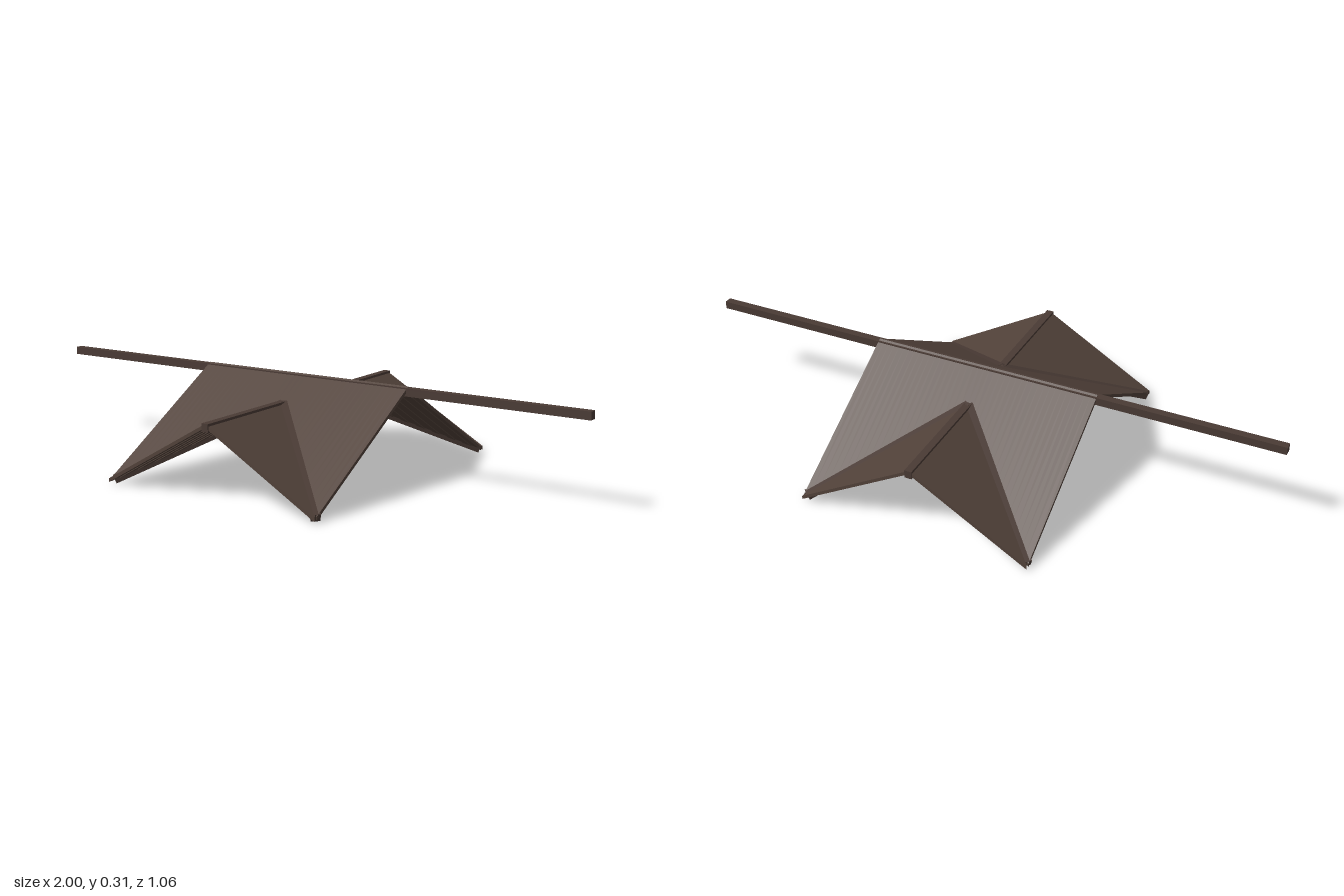
import * as THREE from 'three';
import { mergeGeometries } from 'three/addons/utils/BufferGeometryUtils.js';

const HALF_W = 0.39;    // half width of the roof along x
const HALF_D = 0.525;   // half depth along z
const PITCH = 0.577;    // 30 degree slopes
const MAIN_Y = 0.315;   // top of the main roof
const GABLE_Y = 0.244;  // top of the cross gables
const START = (MAIN_Y - GABLE_Y) / PITCH; // z where the valleys meet
const STRIPS = 20;

export function createModel() {
  const group = new THREE.Group();
  const boards = new THREE.MeshStandardMaterial({ color: 0x52423a });
  boards.name = 'roof brown';
  const timber = new THREE.MeshStandardMaterial({ color: 0x4a3b35 });
  timber.name = 'beam brown';

  const add = (name, geometry, material) => {
    const mesh = new THREE.Mesh(geometry, material);
    mesh.name = name;
    group.add(mesh);
    return mesh;
  };

  // One board: a plan outline of [x, z] points, given thickness and sloped
  const board = (outline, thickness, height) => {
    const shape = new THREE.Shape(outline.map(([x, z]) => new THREE.Vector2(x, z)));
    const geometry = new THREE.ExtrudeGeometry(shape, { depth: thickness, bevelEnabled: false });
    geometry.rotateX(Math.PI / 2);
    const p = geometry.attributes.position;
    for (let i = 0; i < p.count; i++) p.setY(i, p.getY(i) + height(p.getX(i), p.getZ(i)));
    geometry.computeVertexNormals();
    return geometry;
  };

  const mainHeight = (x, z) => MAIN_Y - PITCH * Math.abs(z);
  const gableHeight = (x, z) => GABLE_Y - PITCH * Math.abs(x);

  for (const sx of [-1, 1]) {
    for (const sz of [-1, 1]) {
      const side = (sz > 0 ? 'front' : 'back') + (sx > 0 ? 'Left' : 'Right');
      const mainBoards = [];
      const gableBoards = [];
      for (let i = 0; i < STRIPS; i++) {
        // Alternating thickness gives the boarded underside
        const thickness = i % 2 ? 0.012 : 0.015;
        const a = HALF_W * i / STRIPS;
        const b = HALF_W * (i + 1) / STRIPS;
        mainBoards.push(board(
          [[a, 0], [b, 0], [b, b + START], [a, a + START]].map(([x, z]) => [x * sx, z * sz]),
          thickness, mainHeight));

        const c = START + (HALF_D - START) * i / STRIPS;
        const d = START + (HALF_D - START) * (i + 1) / STRIPS;
        const reachC = Math.min(c - START, HALF_W);
        const reachD = Math.min(d - START, HALF_W);
        const outline = [[0, c], [reachD, d], [0, d]];
        if (i > 0) outline.splice(1, 0, [reachC, c]);
        gableBoards.push(board(outline.map(([x, z]) => [x * sx, z * sz]), thickness, gableHeight));
      }
      add(side + 'MainSlope', mergeGeometries(mainBoards), boards);
      add(side + 'GableSlope', mergeGeometries(gableBoards), boards);

      // Valley rafter running down to the corner
      const top = new THREE.Vector3(0, GABLE_Y - 0.008, sz * START);
      const foot = new THREE.Vector3(sx * 0.383, 0.013, sz * (0.383 + START));
      const rafter = add(side + 'ValleyRafter',
        new THREE.BoxGeometry(0.028, 0.024, top.distanceTo(foot)), timber);
      rafter.position.copy(top).lerp(foot, 0.5);
      rafter.lookAt(foot);
    }
  }

  // Long main ridge beam and the crossing gable ridge beam
  add('mainRidgeBeam', new THREE.BoxGeometry(2, 0.026, 0.026), timber).position.y = 0.298;
  add('gableRidgeBeam', new THREE.BoxGeometry(0.024, 0.026, 1.056), timber).position.y = 0.232;

  return group;
}
